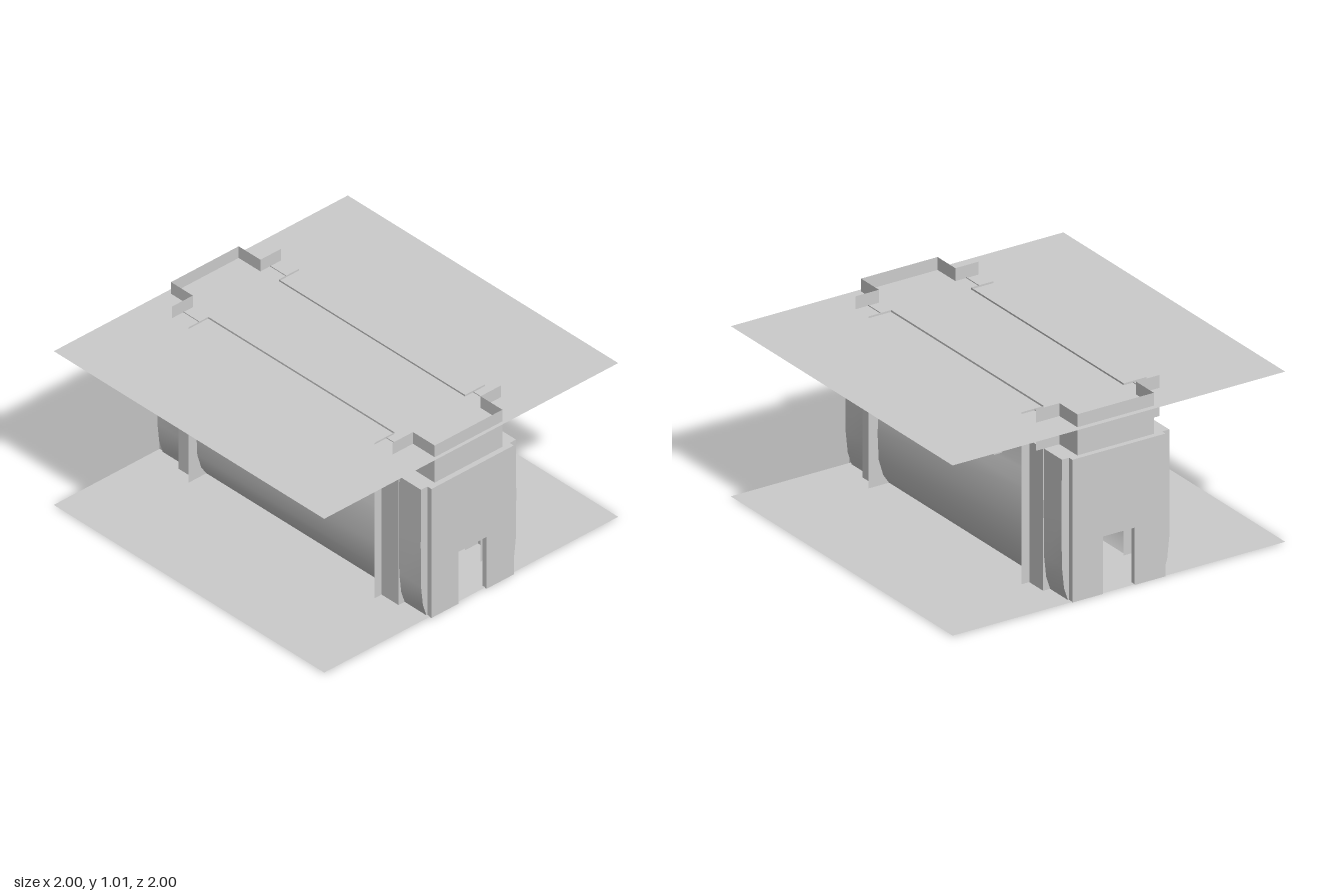
import * as THREE from 'three';

const grey = new THREE.MeshStandardMaterial({ color: 0xcccccc, side: THREE.DoubleSide });

const BASE = 0.004; // foot of all walls
const TOP = 1.016;  // top of the raised end walls
const SILL = 0.79;  // height where the end bays step back

// Height profiles of the curved walls: [z, y] from the floor upwards
const MAIN = [[0.25, BASE], [0.288, 0.06], [0.315, 0.15], [0.322, 0.3], [0.31, 0.5], [0.257, 0.57], [0.24, 0.955]];
const CORNER = [[0.285, BASE], [0.31, 0.08], [0.323, 0.2], [0.325, 0.45], [0.323, SILL]];

function add(group, name, geometry) {
  const mesh = new THREE.Mesh(geometry, grey);
  mesh.name = name;
  group.add(mesh);
  return mesh;
}

// Upright flat sheet standing on the plan line (xa, za) to (xb, zb)
function sheet(group, name, xa, za, xb, zb, y0, y1) {
  const geometry = new THREE.PlaneGeometry(Math.hypot(xb - xa, zb - za), y1 - y0);
  const mesh = add(group, name, geometry);
  mesh.position.set((xa + xb) / 2, (y0 + y1) / 2, (za + zb) / 2);
  mesh.rotation.y = -Math.atan2(zb - za, xb - xa);
}

// Level sheet centred on (x, y, z)
function level(group, name, width, depth, x, y, z) {
  const mesh = add(group, name, new THREE.PlaneGeometry(width, depth));
  mesh.rotation.x = -Math.PI / 2;
  mesh.position.set(x, y, z);
}

// Wall swept along x from a height profile; side is +1 for front, -1 for back
function curvedWall(group, name, profile, x0, x1, side) {
  const geometry = new THREE.PlaneGeometry(1, 1, 1, profile.length - 1);
  const pos = geometry.attributes.position;
  const [a, b] = side > 0 ? [x0, x1] : [x1, x0];
  for (let i = 0; i < pos.count; i++) {
    const [z, y] = profile[profile.length - 1 - Math.floor(i / 2)];
    pos.setXYZ(i, i % 2 ? b : a, y, z * side);
  }
  geometry.computeVertexNormals();
  add(group, name, geometry);
}

export function createModel() {
  const model = new THREE.Group();
  model.name = 'corridor';

  level(model, 'floor', 1.99, 2, -0.005, 0.008, 0);
  level(model, 'ceiling', 1.99, 2, -0.005, 0.945, 0);

  // Long side walls with a raised panel
  for (const side of [1, -1]) {
    const wall = new THREE.Group();
    wall.name = side > 0 ? 'frontWall' : 'backWall';
    model.add(wall);
    curvedWall(wall, 'curvedSideWall', MAIN, -0.685, 0.685, side);
    const panel = add(wall, 'wallPanel', new THREE.BoxGeometry(0.67, 0.21, 0.07));
    panel.position.set(0, 0.672, side * 0.272);
  }

  // End panel outline with its doorway
  const outline = new THREE.Shape();
  [[-0.28, BASE], [-0.095, BASE], [-0.095, 0.32], [0.095, 0.32], [0.095, BASE], [0.28, BASE], [0.28, SILL], [-0.28, SILL]]
    .forEach(([z, y], i) => (i ? outline.lineTo(z, y) : outline.moveTo(z, y)));

  for (const end of [1, -1]) {
    const bay = new THREE.Group();
    bay.name = end > 0 ? 'leftEnd' : 'rightEnd';
    model.add(bay);

    const door = add(bay, 'doorwayPanel', new THREE.ExtrudeGeometry(outline, { depth: 0.03, bevelEnabled: false }));
    door.rotation.y = end * Math.PI / 2;
    door.position.x = end * 0.97;
    sheet(bay, 'header', end * 0.97, -0.23, end * 0.97, 0.23, SILL, TOP);

    for (const side of [1, -1]) {
      // Pillar: fins either side, full face below, set-back face above
      sheet(bay, 'innerFin', end * 0.685, side * 0.24, end * 0.685, side * 0.376, BASE, 0.955);
      sheet(bay, 'outerFin', end * 0.81, side * 0.23, end * 0.81, side * 0.328, BASE, SILL);
      sheet(bay, 'upperFin', end * 0.81, side * 0.23, end * 0.81, side * 0.37, SILL, TOP);
      sheet(bay, 'pillarFace', end * 0.685, side * 0.328, end * 0.81, side * 0.328, BASE, SILL);
      sheet(bay, 'upperRecess', end * 0.685, side * 0.295, end * 0.81, side * 0.295, SILL, 0.95);
      level(bay, 'pillarLedge', 0.125, 0.033, end * 0.7475, SILL, side * 0.3115);

      // Corner bay: curved lower wall, upper wall and the ledge between
      const [x0, x1] = end > 0 ? [0.81, 0.97] : [-0.97, -0.81];
      curvedWall(bay, 'cornerWall', CORNER, x0, x1, side);
      sheet(bay, 'upperCorner', x0, side * 0.23, x1, side * 0.23, SILL, TOP);
      level(bay, 'cornerLedge', 0.16, 0.093, end * 0.89, SILL, side * 0.2765);

      // Return closing the corner wall against the end panel
      const cap = new THREE.Shape();
      cap.moveTo(-side * 0.27, BASE);
      CORNER.forEach(([z, y]) => cap.lineTo(-side * z, y));
      cap.lineTo(-side * 0.27, SILL);
      const capMesh = add(bay, 'cornerReturn', new THREE.ShapeGeometry(cap));
      capMesh.rotation.y = Math.PI / 2;
      capMesh.position.x = end * 0.97;
    }
  }
  return model;
}
